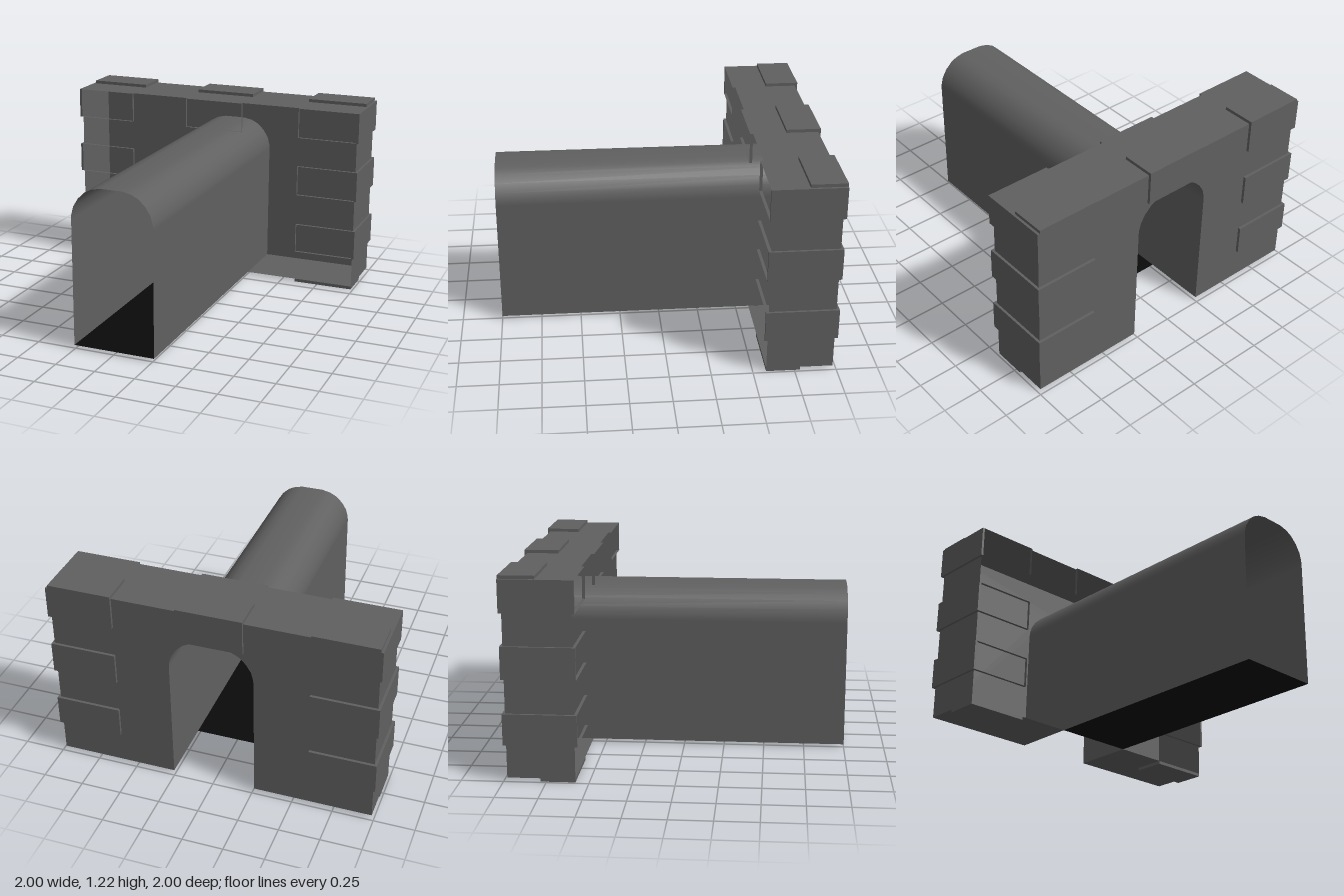
import * as THREE from 'three';

const stone = new THREE.MeshStandardMaterial({ color: 0x606060, side: THREE.DoubleSide });
stone.name = 'grey stone';
const dark = new THREE.MeshStandardMaterial({ color: 0x0a0a0a, side: THREE.DoubleSide });
dark.name = 'black floor';

// Main levels of the gateway wall
const BASE = 0.02, TOP = 1.2, HALF = 0.985;
const FRONT = -0.58, BACK = -0.98, MIDDLE = -0.785;

// Half of the arch outline, from the ground to the crown
const arch = [[0.258, BASE], [0.258, 0.8], [0.256, 0.83], [0.243, 0.88], [0.212, 0.93], [0.17, 0.97], [0.125, 0.993], [0.07, 1.005]];
const outline = [...arch, ...arch.map(([x, y]) => [-x, y]).reverse()];

// Box given by its limits; faces listed in skip are left open (0 +x, 1 -x, 2 +y, 3 -y, 4 +z, 5 -z)
function box(name, [xa, xb], [y0, y1], [z0, z1], skip = []) {
  const g = new THREE.BoxGeometry(Math.abs(xb - xa), y1 - y0, z1 - z0);
  const index = Array.from(g.index.array);
  g.setIndex(index.filter((_, i) => !skip.includes(Math.floor(i / 6))));
  g.clearGroups();
  g.translate((xa + xb) / 2, (y0 + y1) / 2, (z0 + z1) / 2);
  const m = new THREE.Mesh(g, stone);
  m.name = name;
  return m;
}

// Vaulted passage: the arch outline swept along z
function vault() {
  const n = outline.length;
  const g = new THREE.PlaneGeometry(1, 1, n - 1, 1);
  const p = g.attributes.position;
  for (let r = 0; r < 2; r++) {
    outline.forEach(([x, y], i) => p.setXYZ(r * n + i, x, y, r ? 1 : BACK));
  }
  // Turn the faces outward
  const idx = Array.from(g.index.array);
  for (let i = 0; i < idx.length; i += 3) [idx[i], idx[i + 1]] = [idx[i + 1], idx[i]];
  g.setIndex(idx);
  g.computeVertexNormals();
  if (g.attributes.normal.getX(0) < 0) {
    g.setIndex(idx.reverse());
    g.computeVertexNormals();
  }
  const m = new THREE.Mesh(g, stone);
  m.name = 'tunnelVault';
  return m;
}

export function createModel() {
  const model = new THREE.Group();
  model.name = 'tunnelEntrance';

  // Tunnel with its black floor
  const tunnel = new THREE.Group();
  tunnel.name = 'tunnel';
  const floor = new THREE.Mesh(new THREE.PlaneGeometry(0.516, 1 - FRONT), dark);
  floor.name = 'tunnelFloor';
  floor.rotation.x = -Math.PI / 2;
  floor.position.set(0, BASE, (1 + FRONT) / 2);
  tunnel.add(vault(), floor);

  // Gateway wall, a shell that is open toward the tunnel
  const wall = new THREE.Group();
  wall.name = 'gatewayWall';
  const points = [[HALF, BASE], [HALF, TOP], [-HALF, TOP], [-HALF, BASE], ...outline.slice().reverse()];
  const face = new THREE.Mesh(new THREE.ShapeGeometry(new THREE.Shape(points.map(([x, y]) => new THREE.Vector2(x, y)))), stone);
  face.name = 'wallBack';
  face.rotation.y = Math.PI;
  face.position.z = BACK;
  wall.add(face);
  wall.add(box('wallTopAndSides', [-HALF, HALF], [BASE, TOP], [BACK, FRONT], [3, 4, 5]));

  // Bricks that stand out of the wall
  const bricks = new THREE.Group();
  bricks.name = 'bricks';
  const rows = [[0.22, 0.41], [0.615, 0.81], [1.005, TOP]];
  for (const s of [1, -1]) {
    const span = [s * 0.595, s * HALF];
    wall.add(box('wallBottom', [s * 0.258, s * HALF], [BASE, TOP], [BACK, FRONT], [0, 1, 2, 4, 5]));
    for (const row of rows) {
      bricks.add(box('cornerBrickBack', [s * 0.595, s], row, [-0.997, BACK], [4]));
      bricks.add(box('cornerBrickSide', [s * HALF, s], row, [BACK, -0.562], [5]));
      bricks.add(box('cornerBrickRim', span, row, [FRONT, -0.562], [4, 5]));
    }
    bricks.add(box('topBrick', span, [TOP, 1.22], [-0.997, MIDDLE]));
    bricks.add(box('footBrick', span, [0, BASE], [MIDDLE, FRONT]));
  }

  // Keystone over the arch
  bricks.add(box('keystoneBack', [-0.2, 0.2], rows[2], [-0.997, BACK], [4]));
  bricks.add(box('keystoneRim', [-0.2, 0.2], rows[2], [FRONT, -0.562], [4, 5]));
  bricks.add(box('keystoneTop', [-0.2, 0.2], [TOP, 1.22], [-0.997, MIDDLE]));

  model.add(tunnel, wall, bricks);
  return model;
}
